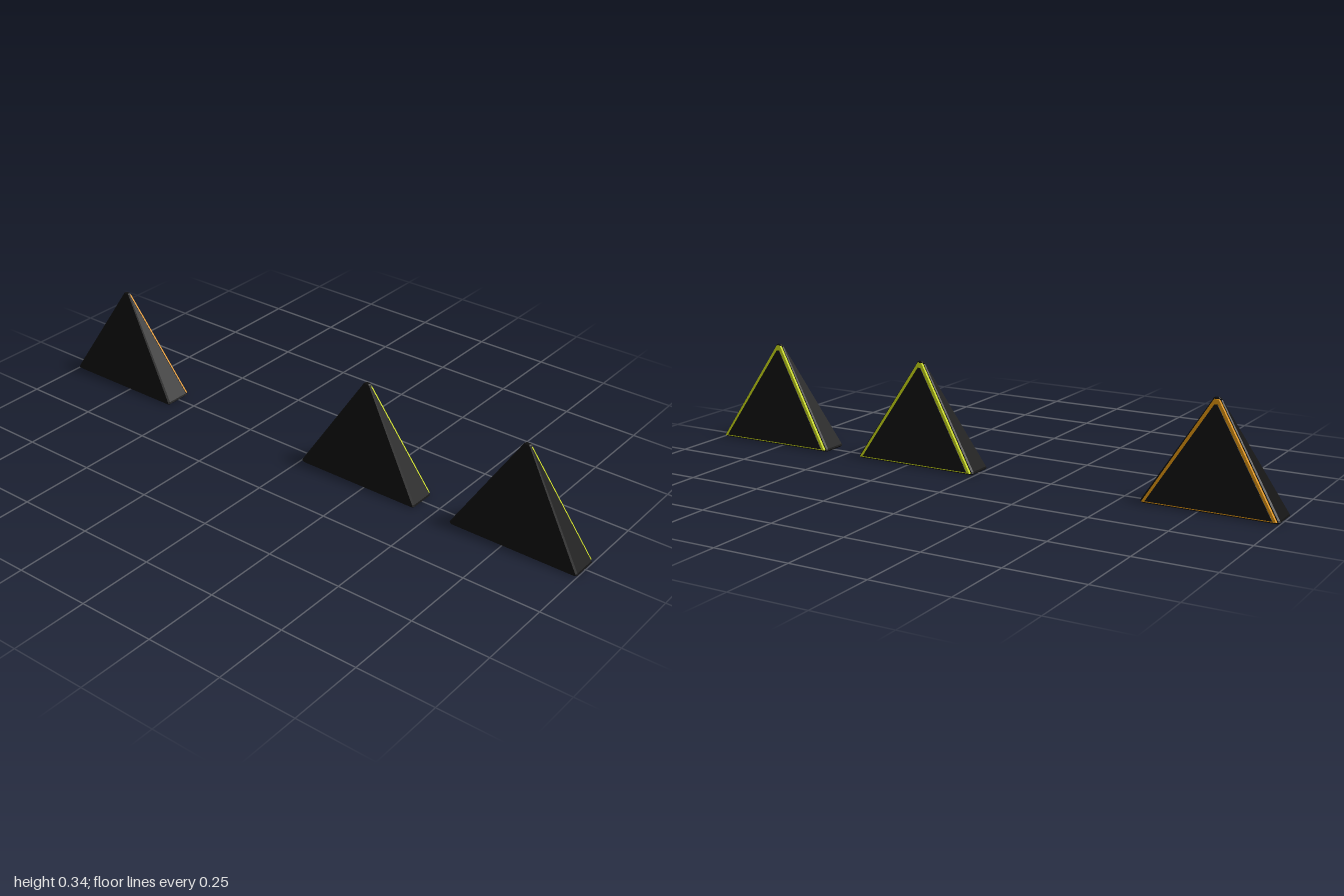
import * as THREE from 'three';

// Closed loft through horizontal rings; each ring is a rectangle with cut corners:
// [y, back x, face x, half depth in z, corner cut]
function loft(rings) {
  const loops = rings.map(([y, x0, x1, h, c]) => [
    [x1, h - c], [x1, c - h], [x1 - c, -h], [x0 + c, -h],
    [x0, c - h], [x0, h - c], [x0 + c, h], [x1 - c, h],
  ].map(([x, z]) => [x, y, z]));
  const pos = [];
  const tri = (a, b, c) => pos.push(...a, ...b, ...c);
  for (let r = 0; r < loops.length - 1; r++) {
    const lo = loops[r], hi = loops[r + 1];
    for (let i = 0; i < 8; i++) {
      const j = (i + 1) % 8;
      tri(lo[i], lo[j], hi[j]);
      tri(lo[i], hi[j], hi[i]);
    }
  }
  const bottom = loops[0], top = loops[loops.length - 1];
  for (let i = 1; i < 7; i++) {
    tri(bottom[0], bottom[i + 1], bottom[i]);
    tri(top[0], top[i], top[i + 1]);
  }
  const g = new THREE.BufferGeometry();
  g.setAttribute('position', new THREE.Float32BufferAttribute(pos, 3));
  g.computeVertexNormals();
  return g;
}

// Tapering shell with bevelled foot and blunt tip
const bodyGeometry = loft([
  [0, -0.047, 0.038, 0.212, 0.004],
  [0.005, -0.05, 0.04, 0.217, 0.005],
  [0.01, -0.049, 0.0395, 0.215, 0.005],
  [0.329, -0.0075, 0, 0.015, 0.003],
  [0.334, -0.007, 0.005, 0.012, 0.003],
  [0.337, -0.005, 0.004, 0.008, 0.002],
]);

// Coloured layer standing off the +x face
const trimGeometry = loft([
  [0.006, 0.03, 0.048, 0.209, 0.001],
  [0.332, -0.004, 0.007, 0.008, 0.001],
]);

// Dark cover, inset so the coloured layer shows as an outline
const coverGeometry = loft([
  [0.009, 0.035, 0.0495, 0.197, 0.0005],
  [0.317, 0.0, 0.0103, 0.005, 0.0005],
]);

export function createModel() {
  const model = new THREE.Group();
  const dark = new THREE.MeshStandardMaterial({ color: 0x101010, flatShading: true });
  const yellow = new THREE.MeshStandardMaterial({ color: 0xc8d814, flatShading: true });
  const orange = new THREE.MeshStandardMaterial({ color: 0xe0940f, flatShading: true });

  const wedges = [
    ['frontWedge', 0.783, yellow],
    ['middleWedge', 0.222, yellow],
    ['rearWedge', -0.783, orange],
  ];
  for (const [name, z, accent] of wedges) {
    const wedge = new THREE.Group();
    wedge.name = name;
    wedge.position.z = z;
    const parts = [
      ['body', bodyGeometry, dark],
      ['trim', trimGeometry, accent],
      ['coverPlate', coverGeometry, dark],
    ];
    for (const [partName, geometry, material] of parts) {
      const mesh = new THREE.Mesh(geometry, material);
      mesh.name = partName;
      wedge.add(mesh);
    }
    model.add(wedge);
  }
  return model;
}
